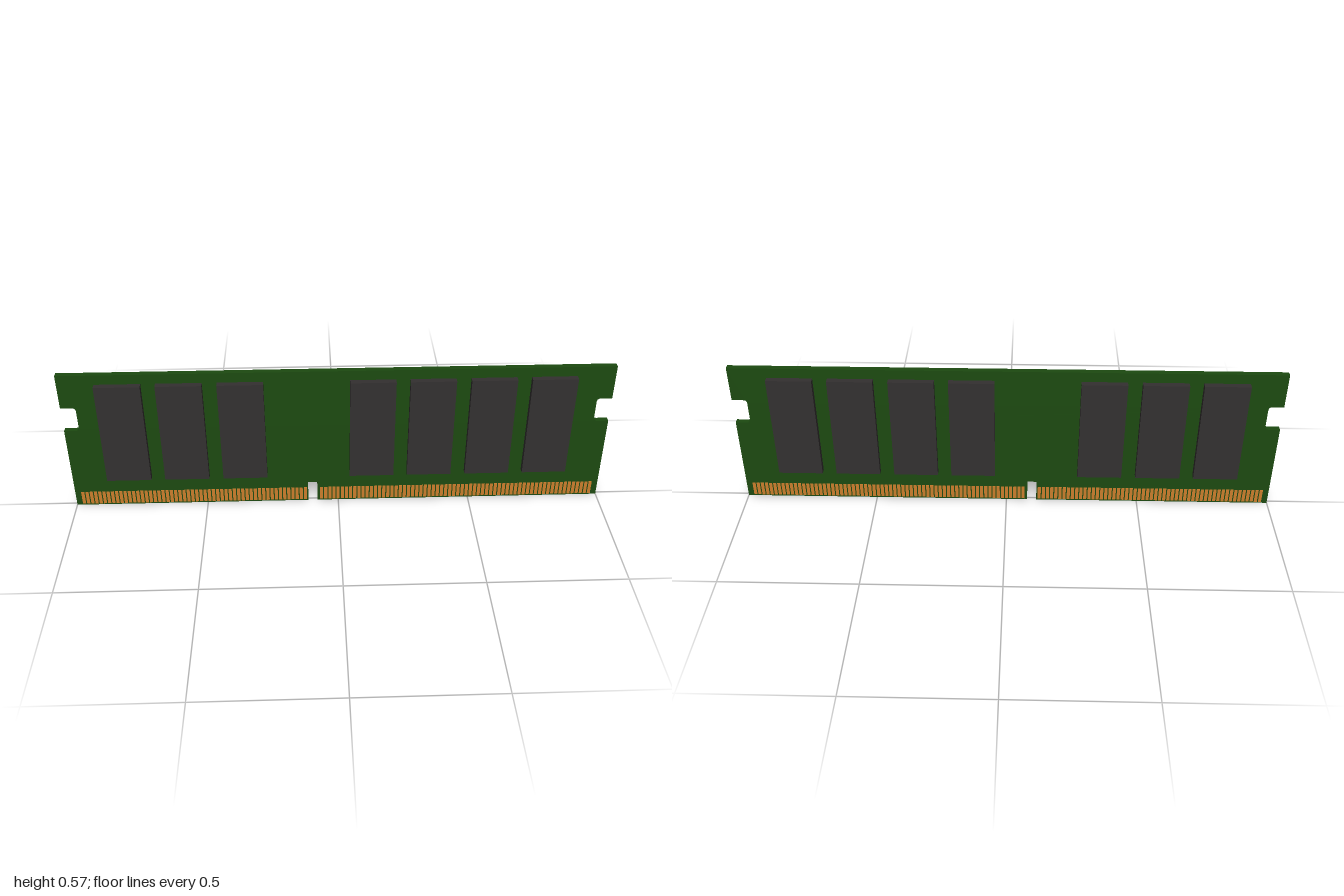
import * as THREE from 'three';

const HEIGHT = 0.573;
const HALF = 0.0105; // half thickness of the board

function material(color) {
  return new THREE.MeshStandardMaterial({ color });
}

// Board outline with two rounded side notches and a key slot in the lower edge
function boardShape() {
  const s = new THREE.Shape();
  const low = 0.34, high = 0.438, deep = 0.945, r = 0.014;
  s.moveTo(-1, 0);
  s.lineTo(-0.115, 0);
  s.lineTo(-0.115, 0.085);
  s.lineTo(-0.08, 0.085);
  s.lineTo(-0.08, 0);
  s.lineTo(1, 0);
  s.lineTo(1, low);
  s.lineTo(deep + r, low);
  s.quadraticCurveTo(deep, low, deep, low + r);
  s.lineTo(deep, high - r);
  s.quadraticCurveTo(deep, high, deep + r, high);
  s.lineTo(1, high);
  s.lineTo(1, HEIGHT);
  s.lineTo(-1, HEIGHT);
  s.lineTo(-1, high);
  s.lineTo(-deep - r, high);
  s.quadraticCurveTo(-deep, high, -deep, high - r);
  s.lineTo(-deep, low + r);
  s.quadraticCurveTo(-deep, low, -deep - r, low);
  s.lineTo(-1, low);
  s.closePath();
  return s;
}

export function createModel() {
  const model = new THREE.Group();
  model.name = 'memoryModule';

  // Circuit board
  const boardGeometry = new THREE.ExtrudeGeometry(boardShape(), {
    depth: HALF * 2, bevelEnabled: false, curveSegments: 5,
  });
  boardGeometry.translate(0, 0, -HALF);
  const board = new THREE.Mesh(boardGeometry, material(0x1c4a10));
  board.name = 'circuitBoard';
  model.add(board);

  // Memory chips on both faces
  const chipDepth = 0.0222;
  const chipGeometry = new THREE.BoxGeometry(0.165, 0.408, chipDepth);
  const chipMaterial = material(0x333030);
  const chipCentres = [-0.785, -0.568, -0.35, 0.125, 0.341, 0.56, 0.778];
  for (const side of [1, -1]) {
    const chips = new THREE.Group();
    chips.name = side > 0 ? 'frontChips' : 'backChips';
    for (const x of chipCentres) {
      const chip = new THREE.Mesh(chipGeometry, chipMaterial);
      chip.name = 'memoryChip';
      chip.position.set(x, 0.331, side * (HALF + chipDepth / 2));
      chips.add(chip);
    }
    model.add(chips);
  }

  // Rows of gold edge contacts on both faces, split by the key slot
  const goldMaterial = material(0xcc7e2c);
  const rows = [
    { from: -0.98, to: -0.118, count: 54 },
    { from: -0.072, to: 0.98, count: 66 },
  ];
  for (const { from, to, count } of rows) {
    const pitch = (to - from) / count;
    const geometry = new THREE.BoxGeometry(pitch * 0.75, 0.056, 0.002);
    for (const side of [1, -1]) {
      const row = new THREE.InstancedMesh(geometry, goldMaterial, count);
      row.name = side > 0 ? 'frontContacts' : 'backContacts';
      const place = new THREE.Matrix4();
      for (let i = 0; i < count; i++) {
        place.makeTranslation(from + (i + 0.5) * pitch, 0.033, side * HALF);
        row.setMatrixAt(i, place);
      }
      model.add(row);
    }
  }

  return model;
}
